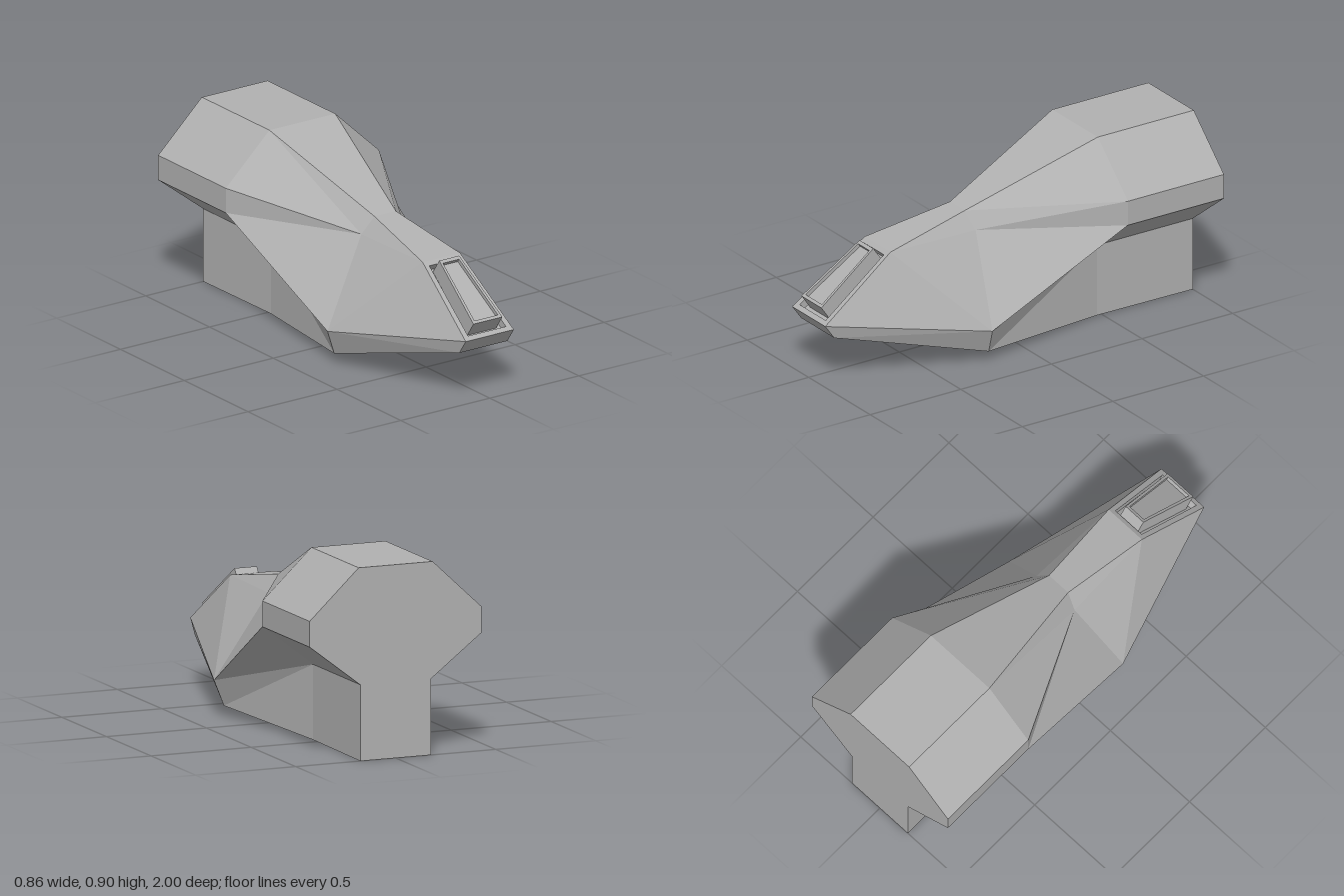
import * as THREE from 'three';

const grey = new THREE.MeshStandardMaterial({ color: 0xb0b0b0 });
grey.name = 'hull grey';

// Corner points of the +x half of the hull
const P = {
  f: [0.06, 0.65, 0.18], p: [0.12, 0.57, 0.16], g: [0.105, 0.57, 0.62],
  h: [0.135, 0.305, 1], i: [0.135, 0.235, 0.95],
  j: [0.36, 0.17, 0.23], k: [0.315, 0.05, 0.22],
};
// Constant rear section: M is its front end, B its back end
const section = { a: [0.185, 0.9], b: [0.43, 0.67], c: [0.43, 0.55], d: [0.177, 0.355], e: [0.177, 0.004] };
for (const n in section) {
  P[n + 'M'] = [...section[n], -0.47];
  P[n + 'B'] = [...section[n], -1];
}
P.eB[1] = 0;

function buildHull() {
  const pos = [];
  const mirror = (v) => [-v[0], v[1], v[2]];
  const face = (pts) => {
    for (let n = 1; n < pts.length - 1; n++) pos.push(...pts[0], ...pts[n], ...pts[n + 1]);
  };
  const both = (...names) => {
    const pts = names.map((n) => P[n]);
    face(pts);
    face(pts.map(mirror).reverse());
  };
  const across = (u, v) => face([P[v], P[u], mirror(P[u]), mirror(P[v])]);

  // Top, nose and belly panels spanning the centre line
  for (const chain of [['aB', 'aM', 'f', 'g'], ['h', 'i', 'k', 'eM', 'eB']])
    for (let n = 0; n < chain.length - 1; n++) across(chain[n], chain[n + 1]);

  // Rear section sides and back cap
  const ring = 'abcde';
  for (let n = 0; n < 4; n++) {
    const u = ring[n], v = ring[n + 1];
    both(u + 'M', v + 'M', v + 'B', u + 'B');
    face([P[u + 'B'], P[v + 'B'], mirror(P[v + 'B']), mirror(P[u + 'B'])]);
  }

  // Faceted flanks
  both('f', 'p', 'bM', 'aM');
  both('p', 'cM', 'bM');
  both('p', 'j', 'cM');
  both('j', 'dM', 'cM');
  both('j', 'k', 'dM');
  both('k', 'eM', 'dM');
  both('g', 'j', 'p');
  both('g', 'p', 'f');
  both('g', 'h', 'j');
  both('h', 'i', 'j');
  both('i', 'k', 'j');

  const geo = new THREE.BufferGeometry();
  geo.setAttribute('position', new THREE.Float32BufferAttribute(pos, 3));
  geo.computeVertexNormals();
  return geo;
}

// Trapezoid: lower and upper half width, lower and upper position
const trapezoid = (w0, w1, v0, v1, Type = THREE.Shape) =>
  new Type([[-w0, v0], [w0, v0], [w1, v1], [-w1, v1]].map(([x, y]) => new THREE.Vector2(x, y)));

function withHole(shape, ...hole) {
  shape.holes.push(trapezoid(...hole, THREE.Path));
  return shape;
}

function extrude(shape, from, to) {
  const geo = new THREE.ExtrudeGeometry(shape, { depth: to - from, bevelEnabled: false });
  return geo.translate(0, 0, from);
}

export function createModel() {
  const group = new THREE.Group();
  const add = (parent, name, geo) => {
    const mesh = new THREE.Mesh(geo, grey);
    mesh.name = name;
    parent.add(mesh);
  };
  add(group, 'hull', buildHull());

  // Sloped nose panel, laid out flat: x across, y up the slope, z outward
  const nose = new THREE.Group();
  nose.name = 'nosePanel';
  const rise = P.g[1] - P.h[1], run = P.h[2] - P.g[2];
  nose.position.set(0, P.h[1], P.h[2]);
  nose.rotation.x = -Math.atan2(run, rise);
  group.add(nose);

  const slot = [0.107, 0.083, 0.026, 0.437];
  add(nose, 'slotFrame', new THREE.ShapeGeometry(
    withHole(trapezoid(P.h[0], P.g[0], 0, Math.hypot(rise, run)), ...slot)));
  add(nose, 'slotWalls', extrude(
    withHole(trapezoid(0.111, 0.087, 0.022, 0.441), ...slot), -0.037, -0.001));
  add(nose, 'slotFloor', new THREE.ShapeGeometry(trapezoid(...slot)).translate(0, 0, -0.037));

  // Raised block with a shallow tray on top
  add(nose, 'raisedRim', extrude(
    withHole(trapezoid(0.081, 0.056, 0.052, 0.422), 0.066, 0.045, 0.068, 0.404), -0.037, 0.048));
  add(nose, 'raisedTray', new THREE.ShapeGeometry(
    trapezoid(0.066, 0.045, 0.068, 0.404)).translate(0, 0, 0.03));
  return group;
}
